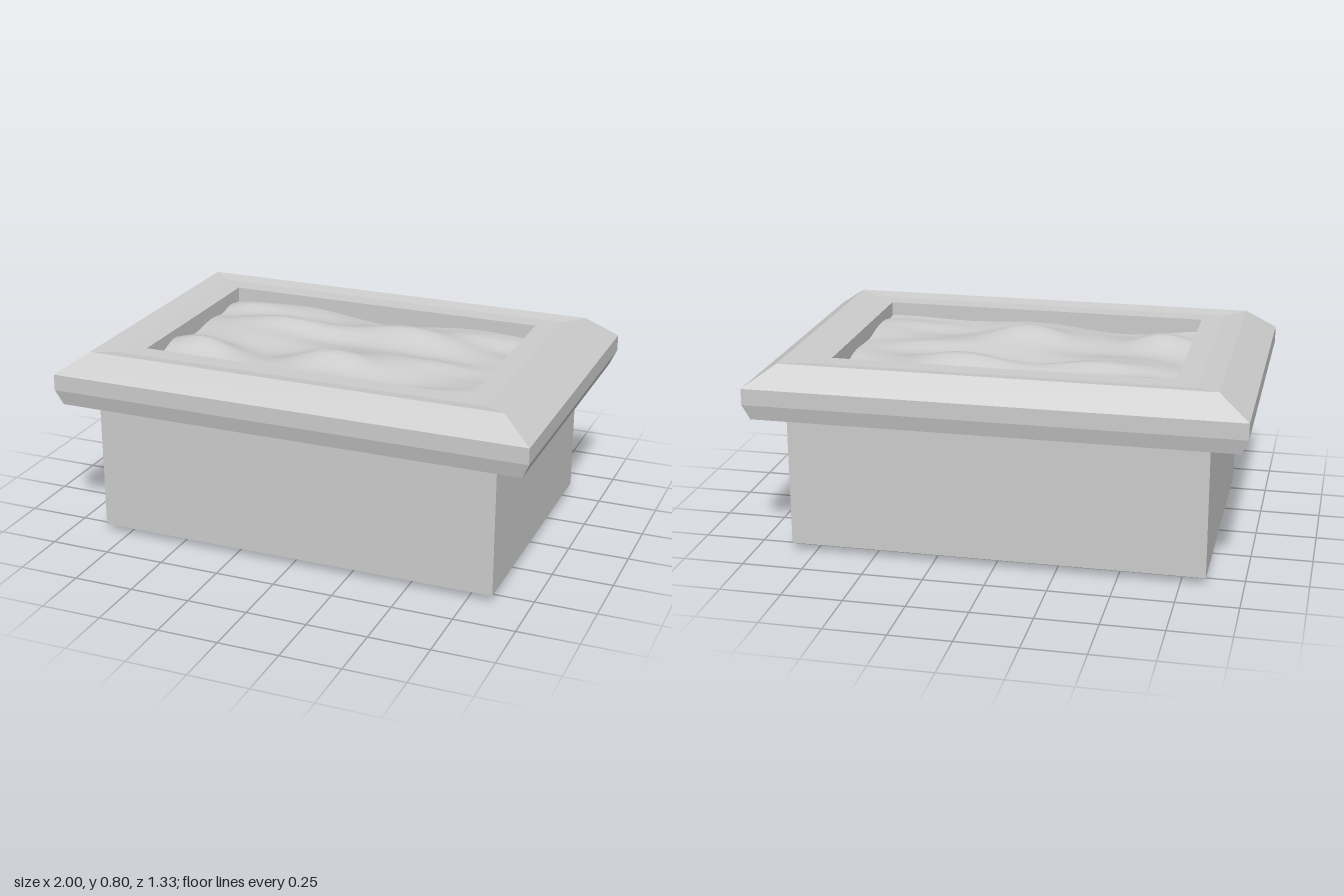
import * as THREE from 'three';

const material = new THREE.MeshStandardMaterial({ color: 0xcccccc, flatShading: true });
const soilMaterial = new THREE.MeshStandardMaterial({ color: 0xcccccc });

// Skin a stack of rectangular rings [half width, half depth, height]
function rectangularLoft(name, rings, capStart = false) {
  const corners = [[1, 1], [1, -1], [-1, -1], [-1, 1]];
  const positions = [];
  const index = [];
  for (const [hx, hz, y] of rings) {
    for (const [sx, sz] of corners) positions.push(sx * hx, y, sz * hz);
  }
  for (let i = 0; i < rings.length - 1; i++) {
    for (let j = 0; j < 4; j++) {
      const a = i * 4 + j, b = i * 4 + (j + 1) % 4;
      index.push(a, b, b + 4, a, b + 4, a + 4);
    }
  }
  if (capStart) index.push(0, 2, 1, 0, 3, 2);
  const indexed = new THREE.BufferGeometry();
  indexed.setAttribute('position', new THREE.Float32BufferAttribute(positions, 3));
  indexed.setIndex(index);
  const geometry = indexed.toNonIndexed();
  geometry.computeVertexNormals();
  const mesh = new THREE.Mesh(geometry, material);
  mesh.name = name;
  return mesh;
}

// Mounds of earth: [x, z, radius x, radius z, height]
const mounds = [
  [0, 0.185, 0.2, 0.09, 0.075],
  [-0.3, -0.2, 0.24, 0.06, 0.05],
  [0.15, -0.23, 0.25, 0.08, 0.045],
  [-0.55, 0.2, 0.14, 0.07, 0.045],
  [-0.6, -0.34, 0.16, 0.07, 0.045],
  [0.45, 0.02, 0.2, 0.07, 0.035],
  [0.5, 0.32, 0.2, 0.06, 0.03],
  [0.5, -0.35, 0.2, 0.06, 0.03],
];

function soilHeight(x, z) {
  let y = 0.728 + 0.01 * Math.sin(9 * x + 4 * z) + 0.01 * Math.sin(19 * z - 5 * x + 1);
  for (const [mx, mz, rx, rz, h] of mounds) {
    y += h * Math.exp(-(((x - mx) / rx) ** 2) - ((z - mz) / rz) ** 2);
  }
  return y;
}

function createSoil() {
  const geometry = new THREE.PlaneGeometry(1.39, 0.87, 32, 24);
  geometry.rotateX(-Math.PI / 2);
  const p = geometry.attributes.position;
  for (let i = 0; i < p.count; i++) {
    const x = p.getX(i), z = p.getZ(i);
    // Keep the border of the soil below the rim
    const edge = Math.min((0.695 - Math.abs(x)) / 0.08, (0.435 - Math.abs(z)) / 0.08, 1);
    p.setY(i, Math.min(soilHeight(x, z), 0.77 + 0.045 * edge));
  }
  geometry.computeVertexNormals();
  const mesh = new THREE.Mesh(geometry, soilMaterial);
  mesh.name = 'soil';
  return mesh;
}

export function createModel() {
  const model = new THREE.Group();
  model.name = 'planter';

  // Box with a shallow tapered underside
  model.add(rectangularLoft('planterBox', [
    [0.56, 0.285, 0], [0.85, 0.57, 0.03], [0.85, 0.57, 0.585],
  ], true));

  // Overhanging bevelled rim, ending in the inner walls
  model.add(rectangularLoft('rim', [
    [0.85, 0.57, 0.585], [0.972, 0.651, 0.585], [1, 0.667, 0.648], [1, 0.667, 0.715],
    [0.875, 0.585, 0.803], [0.785, 0.52, 0.793], [0.695, 0.435, 0.793], [0.695, 0.435, 0.66],
  ]));

  model.add(createSoil());
  return model;
}
